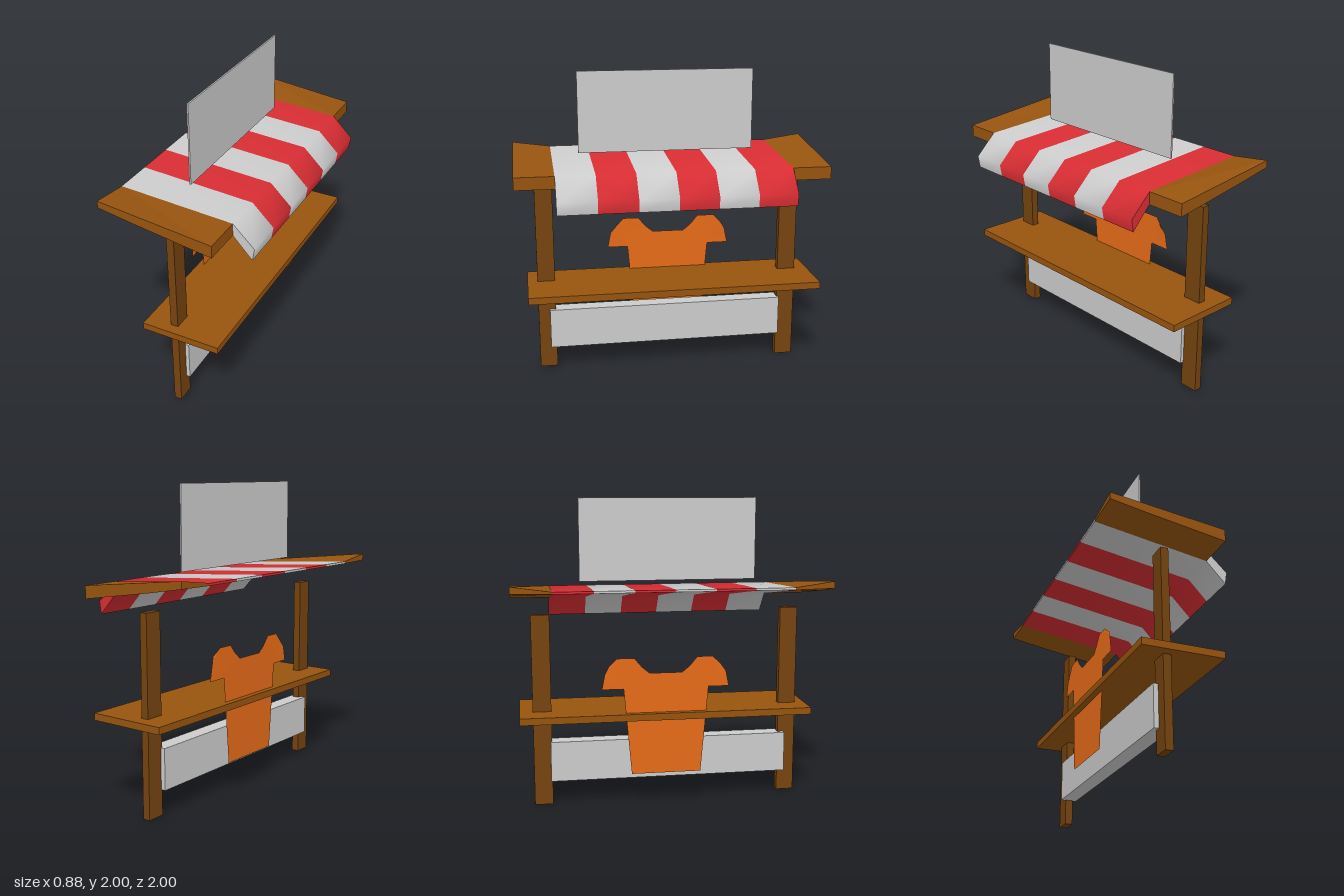
import * as THREE from 'three';
import { toCreasedNormals } from 'three/addons/utils/BufferGeometryUtils.js';

const mat = (color) => new THREE.MeshStandardMaterial({ color, side: THREE.DoubleSide });

export function createModel() {
  const model = new THREE.Group();
  const wood = mat(0x97540f), darkWood = mat(0x75430f);
  const red = mat(0xd62d33), grey = mat(0xcccccc), orange = mat(0xe66b18);

  const add = (name, geometry, material) => {
    const mesh = new THREE.Mesh(geometry, material);
    mesh.name = name;
    model.add(mesh);
    return mesh;
  };

  // Box given by its limits on each axis
  const box = (name, material, x0, x1, y0, y1, z0, z1) =>
    add(name, new THREE.BoxGeometry(x1 - x0, y1 - y0, z1 - z0), material)
      .position.set((x0 + x1) / 2, (y0 + y1) / 2, (z0 + z1) / 2);

  // Profile in x/y drawn out from z0 to z1
  const extrude = (points, z0, z1) => {
    const shape = new THREE.Shape(points.map(([x, y]) => new THREE.Vector2(x, y)));
    return new THREE.ExtrudeGeometry(shape, { depth: z1 - z0, bevelEnabled: false }).translate(0, 0, z0);
  };

  // Posts, counter and boards
  box('leftPost', darkWood, -0.07, -0.02, 0.02, 1.28, 0.76, 0.875);
  box('rightPost', darkWood, -0.07, -0.02, 0, 1.265, -0.88, -0.76);
  box('counter', wood, -0.23, 0.29, 0.585, 0.63, -0.965, 0.94);
  box('frontPanel', grey, -0.1, 0.005, 0.165, 0.43, -0.77, 0.8);
  box('signBoard', grey, -0.075, -0.065, 1.475, 2, -0.565, 0.58);

  // Striped awning with a drooping front edge
  const awning = [[-0.44, 1.44], [-0.2, 1.405], [0.3, 1.33], [0.425, 1.195],
    [0.438, 1.275], [0.3, 1.41], [-0.44, 1.455]];
  for (let i = 0; i < 6; i++) {
    const z = -0.75 + i * 0.25;
    const geometry = toCreasedNormals(extrude(awning, z, z + 0.25), 1);
    add('awningStripe' + (i + 1), geometry, i % 2 ? grey : red);
  }

  // Wooden roof ends, with the outer back corners turned up
  const wing = [[-0.44, 1.44], [-0.2, 1.405], [0.3, 1.33], [0.3, 1.41], [-0.44, 1.455]];
  for (const side of [1, -1]) {
    const geometry = side > 0 ? extrude(wing, 0.75, 1) : extrude(wing, -1, -0.75);
    const p = geometry.attributes.position;
    for (let i = 0; i < p.count; i++) {
      if (Math.abs(p.getZ(i)) > 0.9 && p.getX(i) < -0.4) {
        p.setY(i, p.getY(i) > 1.45 ? 1.49 : 1.445);
      }
    }
    geometry.computeVertexNormals();
    add(side > 0 ? 'leftRoofEnd' : 'rightRoofEnd', geometry, wood);
  }

  // Flat hanging shirt, outline in z/y, sleeves bulging slightly
  const outline = [[0.205, 0.22], [0.255, 0.79], [0.39, 0.79], [0.37, 0.89], [0.335, 0.94],
    [0.28, 0.99], [0.18, 0.99], [0.13, 0.93], [0.08, 0.89], [-0.13, 0.89], [-0.18, 0.93],
    [-0.23, 0.99], [-0.34, 0.99], [-0.39, 0.94], [-0.42, 0.89], [-0.44, 0.79],
    [-0.3, 0.79], [-0.25, 0.22]];
  const shirt = new THREE.ShapeGeometry(
    new THREE.Shape(outline.map(([z, y]) => new THREE.Vector2(-z, y))));
  shirt.rotateY(Math.PI / 2).translate(-0.19, 0, 0);
  const p = shirt.attributes.position;
  for (let i = 0; i < p.count; i++) {
    if (Math.abs(p.getY(i) - 0.94) < 0.005) p.setX(i, -0.175);
  }
  shirt.computeVertexNormals();
  add('shirt', shirt, orange);

  return model;
}
